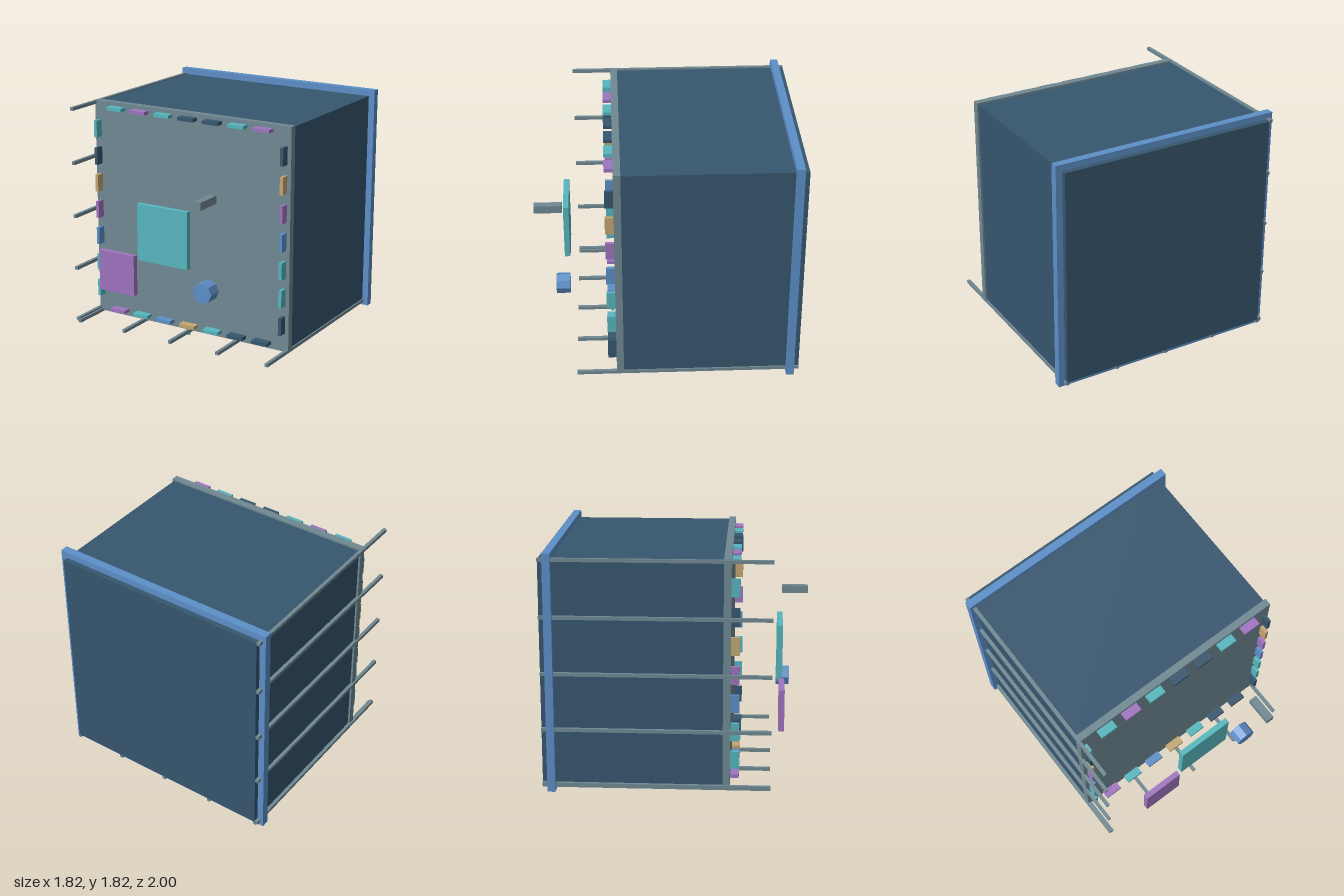
import * as THREE from 'three';

export function createModel() {
  const model = new THREE.Group();
  model.name = 'panelledCube';

  const mat = (name, color) => {
    const m = new THREE.MeshStandardMaterial({ color });
    m.name = name;
    return m;
  };
  const gray = mat('slateGray', 0x708993);
  const navy = mat('navy', 0x36566e);
  const blue = mat('blue', 0x5d8fc8);
  const teal = mat('teal', 0x56b6be);
  const purple = mat('purple', 0xa074c0);
  const tan = mat('tan', 0xc4a672);

  const add = (name, geometry, material, x, y, z) => {
    const mesh = new THREE.Mesh(geometry, material);
    mesh.name = name;
    mesh.position.set(x, y, z);
    model.add(mesh);
    return mesh;
  };
  // Box given by its centre in x and y, its size, and its z range
  const box = (name, material, x, y, w, h, z0, z1) =>
    add(name, new THREE.BoxGeometry(w, h, z1 - z0), material, x, y, (z0 + z1) / 2);

  const midY = 0.91;

  // Main volume, front panel and rear collar
  box('body', navy, 0, midY, 1.72, 1.72, -1, 0.36);
  box('frontPanel', gray, 0, midY, 1.75, 1.75, 0.35, 0.405);
  box('rearCollar', blue, 0, midY, 1.82, 1.82, -0.96, -0.9);

  // Long rods along the right side and the underside
  for (let i = -2; i <= 2; i++) {
    box('sideRod', gray, -0.875, midY + i * 0.429, 0.026, 0.026, -1, 0.71);
    box('bottomRod', gray, i * 0.429, 0.038, 0.026, 0.026, -1, 0.71);
  }

  // Small studs under the middle rod
  for (const z of [0.43, -0.14, -0.71]) {
    box('stud', teal, 0, 0.016, 0.02, 0.022, z - 0.01, z + 0.01);
  }

  // Coloured tabs around the front panel, left to right or top to bottom
  const tabs = {
    top: [teal, purple, teal, navy, navy, teal, purple],
    bottom: [purple, teal, blue, tan, teal, navy, navy],
    right: [teal, navy, tan, purple, blue, teal, teal],
    left: [navy, tan, purple, blue, teal, teal, navy],
  };
  for (let i = 0; i < 7; i++) {
    const s = (i - 3) * 0.219;
    box('topTab', tabs.top[i], s, 1.743, 0.137, 0.026, 0.4, 0.47);
    box('bottomTab', tabs.bottom[i], s, 0.083, 0.137, 0.026, 0.4, 0.47);
    box('rightTab', tabs.right[i], -0.832, midY - s, 0.026, 0.137, 0.4, 0.47);
    box('leftTab', tabs.left[i], 0.832, midY - s, 0.026, 0.137, 0.4, 0.47);
  }

  // Pieces floating in front of the panel
  box('tealPlate', teal, 0, 0.913, 0.445, 0.445, 0.75, 0.793);
  box('purplePlate', purple, -0.412, 0.556, 0.322, 0.322, 0.765, 0.808);
  box('grayBar', gray, 0.445, 1.274, 0.06, 0.06, 0.79, 1);
  const knob = new THREE.CylinderGeometry(0.08, 0.08, 0.108, 8).toNonIndexed();
  knob.computeVertexNormals();
  add('knob', knob, blue, 0.392, 0.556, 0.804).rotation.x = Math.PI / 2;

  return model;
}
